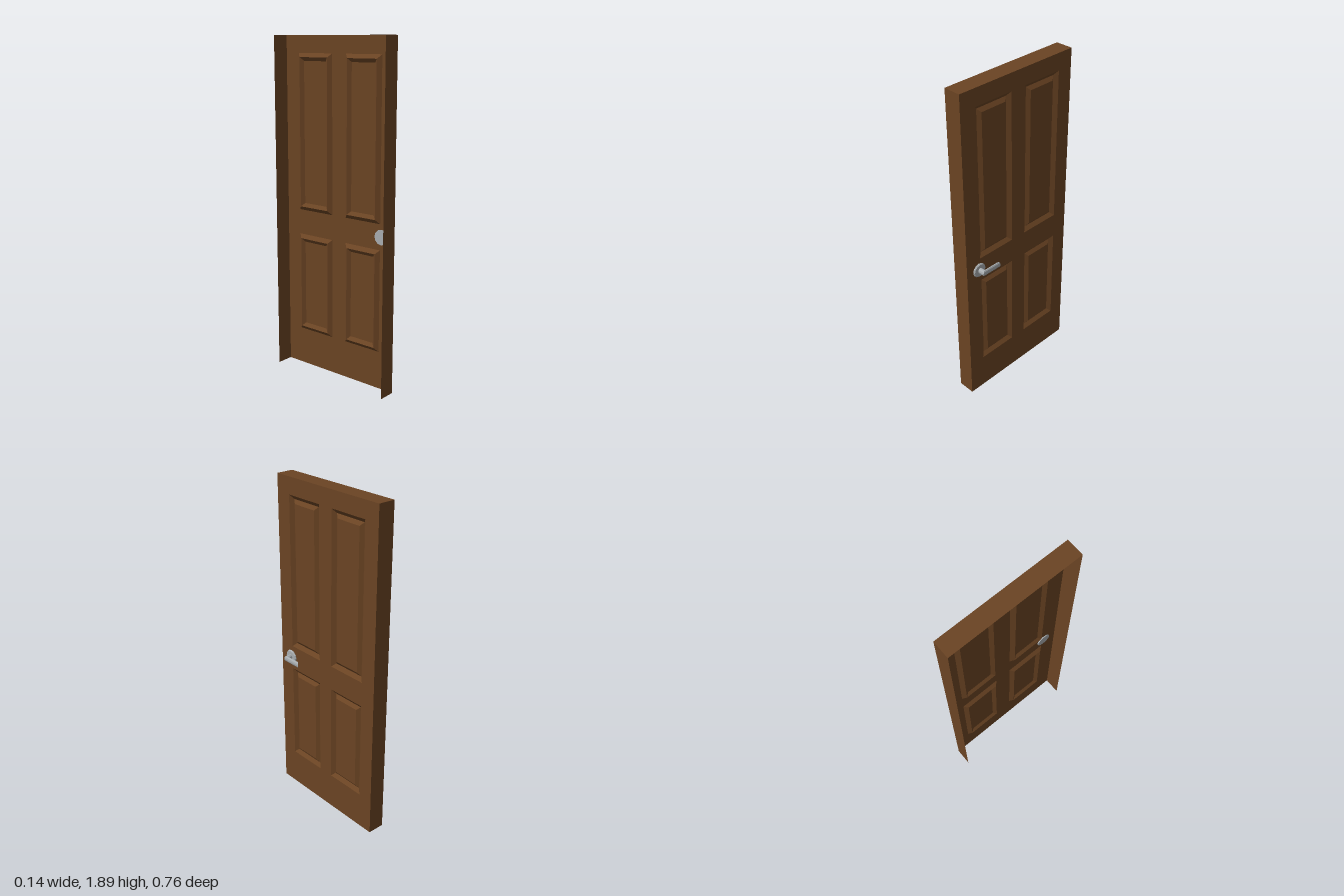
import * as THREE from 'three';

const W = 0.378, H = 1.895, FRONT = 0.023, BACK = -0.075;

// Four sunken panels: [u0, u1, y0, y1]
const PANELS = [];
for (const [u0, u1] of [[-0.284, -0.047], [0.047, 0.288]])
  for (const [y0, y1] of [[0.213, 0.785], [0.927, 1.8]]) PANELS.push([u0, u1, y0, y1]);

function flat(geometry) {
  const g = geometry.index ? geometry.toNonIndexed() : geometry;
  g.computeVertexNormals();
  return g;
}

// Joins equal-sized rings of points into faceted walls and closes the last ring
function loft(rings) {
  const n = rings[0].length, index = [];
  for (let r = 0; r < rings.length - 1; r++)
    for (let i = 0; i < n; i++) {
      const a = r * n + i, b = r * n + (i + 1) % n;
      index.push(a, b, b + n, a, b + n, a + n);
    }
  const last = (rings.length - 1) * n;
  for (let i = 1; i < n - 1; i++) index.push(last, last + i, last + i + 1);
  const g = new THREE.BufferGeometry();
  g.setAttribute('position', new THREE.Float32BufferAttribute(rings.flat(2), 3));
  g.setIndex(index);
  return flat(g);
}

function rectangle([u0, u1, y0, y1], inset = 0, w = 0) {
  const a = u0 + inset, b = u1 - inset, c = y0 + inset, d = y1 - inset;
  return [[a, c, w], [b, c, w], [b, d, w], [a, d, w]];
}

export function createModel() {
  const wood = new THREE.MeshStandardMaterial({ color: 0x6b4423, side: THREE.DoubleSide });
  wood.name = 'brown wood';
  const metal = new THREE.MeshStandardMaterial({ color: 0xa9aeb1, side: THREE.DoubleSide });
  metal.name = 'grey metal';

  // Built facing +z, then turned so the panelled face looks along +x
  const door = new THREE.Group();
  door.name = 'door';
  door.rotation.y = Math.PI / 2;
  const add = (name, geometry, material, parent = door) => {
    const mesh = new THREE.Mesh(geometry, material);
    mesh.name = name;
    parent.add(mesh);
    return mesh;
  };

  // Face sheet with openings for the panels
  const points = (r) => rectangle(r).map(([u, y]) => new THREE.Vector2(u, y));
  const sheet = new THREE.Shape(points([-W, W, 0, H]));
  for (const p of PANELS) sheet.holes.push(new THREE.Path(points(p)));
  add('doorFace', new THREE.ShapeGeometry(sheet), wood).position.z = FRONT;

  // Panels: slope down to a groove, then up to a raised field
  for (const p of PANELS)
    add('panel', loft([rectangle(p), rectangle(p, 0.022, -0.018), rectangle(p, 0.042, -0.003)]), wood)
      .position.z = FRONT;

  // Side and top edges; the shell stays open behind and below
  const depth = FRONT - BACK, mid = (FRONT + BACK) / 2;
  for (const s of [-1, 1]) {
    const edge = add('sideEdge', new THREE.PlaneGeometry(depth, H), wood);
    edge.rotation.y = s * Math.PI / 2;
    edge.position.set(s * W, H / 2, mid);
  }
  const top = add('topEdge', new THREE.PlaneGeometry(2 * W, depth), wood);
  top.rotation.x = -Math.PI / 2;
  top.position.set(0, H, mid);

  // Handle: chamfered rosette that shows through the back of the sheet
  const handle = new THREE.Group();
  handle.name = 'handle';
  handle.position.set(-0.293, 0.857, 0);
  door.add(handle);
  const profile = [[0, 0.017], [0.042, 0.017], [0.042, 0.026], [0.037, 0.032], [0, 0.032]]
    .map(([r, h]) => new THREE.Vector2(r, h));
  add('rosette', flat(new THREE.LatheGeometry(profile, 12)), metal, handle).rotation.x = Math.PI / 2;

  // Neck and lever: an oval section swept round a mitred corner to a slanted tip
  // Each section runs from its outer to its inner point in (u, w)
  const sections = [
    [[-0.0145, 0.03], [0.0145, 0.03]],
    [[-0.011, 0.07], [0.016, 0.054]],
    [[0.113, 0.07], [0.092, 0.054]],
  ];
  const rings = sections.map(([outer, inner]) => Array.from({ length: 10 }, (_, i) => {
    const angle = i / 10 * Math.PI * 2, t = (1 + Math.cos(angle)) / 2;
    return [
      THREE.MathUtils.lerp(outer[0], inner[0], t),
      Math.sin(angle) * 0.017,
      THREE.MathUtils.lerp(outer[1], inner[1], t),
    ];
  }));
  add('lever', loft(rings), metal, handle);

  const model = new THREE.Group();
  model.name = 'panelDoor';
  model.add(door);
  return model;
}
